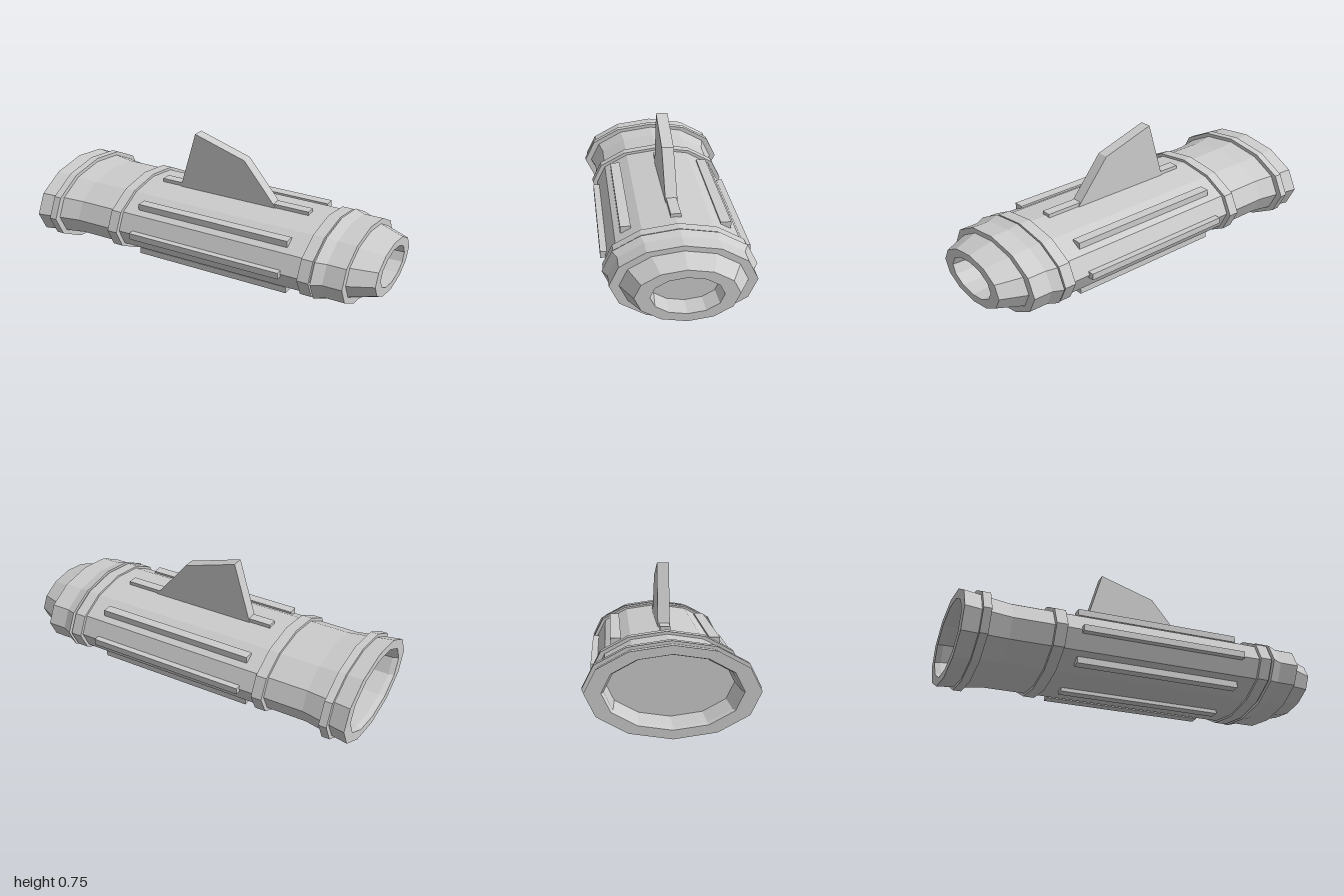
import * as THREE from 'three';

const SIDES = 12;
const FLATTEN = 0.535; // height of the oval section relative to its width
const AXIS_Y = 0.23;

export function createModel() {
  const group = new THREE.Group();
  group.name = 'engineNacelle';
  const grey = new THREE.MeshStandardMaterial({ color: 0xcccccc });
  grey.name = 'hullGrey';
  grey.flatShading = true;

  const add = (name, geometry, x = 0, y = 0, z = 0) => {
    const mesh = new THREE.Mesh(geometry, grey);
    mesh.name = name;
    mesh.position.set(x, y, z);
    group.add(mesh);
  };

  // Turn a list of [x, radius] into an oval faceted body along x
  const oval = (name, profile) => {
    const points = profile.map(([x, r]) => new THREE.Vector2(r, x));
    const geometry = new THREE.LatheGeometry(points, SIDES);
    geometry.rotateZ(-Math.PI / 2);
    geometry.scale(1, FLATTEN, 1);
    add(name, geometry, 0, AXIS_Y, 0);
  };

  // Hull: recessed rear exhaust, flare, barrel, stepped nose, intake
  oval('hull', [
    [-0.78, 0], [-0.78, 0.31], [-0.97, 0.318], [-1, 0.33], [-1, 0.41],
    [-0.75, 0.362], [0.866, 0.362], [0.866, 0.313], [1, 0.252],
    [1, 0.177], [0.87, 0.171], [0.87, 0],
  ]);

  // Raised bands around the hull
  const band = (name, x0, x1, r0, r1 = r0) =>
    oval(name, [[x0, 0.33], [x0, r0], [x1, r1], [x1, 0.33]]);
  band('rearBand', -0.91, -0.867, 0.421);
  band('middleBand', -0.53, -0.47, 0.389);
  band('frontBand', 0.628, 0.692, 0.382);
  band('noseCollar', 0.704, 0.762, 0.389, 0.361);

  // Long rails on the top, bottom, sides and shoulders
  const rail = (name, height, width, y, z) =>
    add(name, new THREE.BoxGeometry(0.91, height, width), 0.07, AXIS_Y + y, z);
  for (const s of [1, -1]) {
    rail(s > 0 ? 'topRail' : 'bottomRail', 0.04, 0.054, s * 0.19, 0);
    rail('sideRail', 0.035, 0.05, 0, s * 0.363);
    rail('upperShoulderRail', 0.035, 0.055, 0.135, s * 0.257);
    rail('lowerShoulderRail', 0.035, 0.055, -0.135, s * 0.257);
  }

  // Upright fin
  const fin = new THREE.Shape([
    [-0.267, 0.41], [0.34, 0.41], [0.32, 0.437], [0.14, 0.657], [-0.166, 0.752],
  ].map(([x, y]) => new THREE.Vector2(x, y)));
  const finGeometry = new THREE.ExtrudeGeometry(fin, { depth: 0.064, bevelEnabled: false });
  add('fin', finGeometry, 0, 0, -0.032);

  return group;
}
